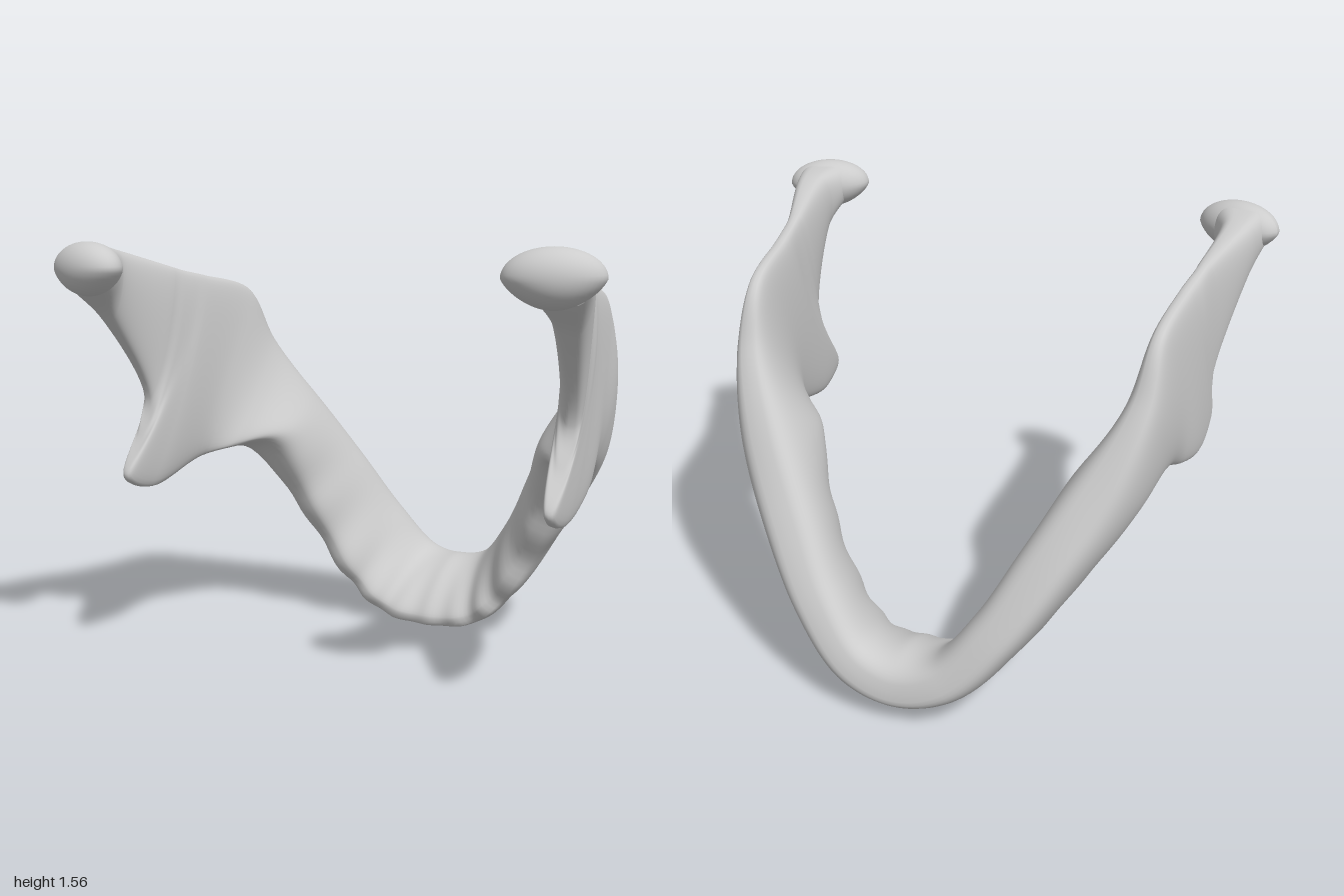
import * as THREE from 'three';

// Half of the arch, midline to joint. Each station is a cross-section:
// [lower border point, height and depth of the middle, tooth-edge point, half thickness at both ends]
const HALF = [
  [[0, .15, -.787], [.145, -.56], [0, .035, -.33], .115, .05],
  [[.17, .21, -.775], [.165, -.55], [.19, .065, -.33], .115, .055],
  [[.33, .40, -.715], [.33, -.51], [.34, .20, -.31], .12, .065],
  [[.47, .64, -.61], [.57, -.42], [.5, .48, -.25], .13, .085],
  [[.62, .91, -.47], [.81, -.28], [.62, .75, -.11], .125, .125],
  [[.72, 1.17, -.33], [.95, -.13], [.71, .76, .04], .085, .08],
  [[.74, 1.37, -.21], [1.06, 0], [.775, .74, .13], .055, .06],
  [[.77, 1.44, .07], [1.08, .22], [.8, .67, .43], .053, .05],
  [[.782, 1.455, .15], [1.1, .27], [.805, .73, .57], .053, .045],
  [[.79, 1.465, .2], [1.12, .31], [.81, .87, .46], .053, .04],
  [[.80, 1.48, .26], [1.2, .34], [.82, 1.0, .395], .055, .04],
  [[.86, 1.55, .54], [1.42, .56], [.86, 1.3, .57], .085, .06],
  [[.86, 1.57, .66], [1.48, .66], [.86, 1.4, .68], .115, .1],
];

function jawGeometry(along = 240, around = 56) {
  // mirror the half across the midline
  const stations = [...HALF.slice(1).reverse().map((s) => [s, -1]), ...HALF.map((s) => [s, 1])];
  const curve = (pick) => new THREE.CatmullRomCurve3(
    stations.map(([s, sign]) => {
      const [x, y, z] = pick(s);
      return new THREE.Vector3(sign * x, y, z);
    }));
  const border = curve((s) => s[0]);
  const middle = curve(([a, m, b]) => [(a[0] + b[0]) / 2, ...m]);
  const edge = curve((s) => s[2]);
  const thickness = new THREE.CatmullRomCurve3(
    stations.map(([s], i) => new THREE.Vector3(s[3], s[4], i)), false, 'catmullrom');

  const pos = [], index = [];
  for (let i = 0; i <= along; i++) {
    const u = i / along;
    const a = border.getPoint(u), m = middle.getPoint(u), b = edge.getPoint(u);
    const h = thickness.getPoint(u);
    const n = b.clone().sub(a).cross(border.getTangent(u)).normalize();
    // bend the section so that it passes through the middle point
    const control = m.clone().multiplyScalar(2).addScaledVector(a, -.5).addScaledVector(b, -.5);
    const section = new THREE.QuadraticBezierCurve3(a, control, b);
    // worn tooth sockets fade out towards the upright branches
    const fromMid = Math.abs(u - .5) * 2;
    const socket = THREE.MathUtils.smoothstep(.33 - fromMid, 0, .08);
    const ripple = socket * (Math.cos(fromMid * 105) + .5 * Math.sin(u * 173));

    for (let j = 0; j < around; j++) {
      const angle = j / around * Math.PI * 2;
      const t = (1 - Math.cos(angle)) / 2, s = Math.sin(angle);
      const side = Math.sign(s) * Math.abs(s) ** .6 * THREE.MathUtils.lerp(h.x, h.y, t);
      const p = section.getPoint(t).addScaledVector(n, side * (1 + .06 * ripple * t ** 3));
      p.z += .007 * ripple * t ** 4;
      // small nerve opening on each outer face
      if (s < 0) {
        const d = Math.hypot(p.z + .52, p.y - .3);
        p.addScaledVector(n, .025 * Math.exp(-((d / .02) ** 2)));
      }
      pos.push(p.x, p.y, p.z);
      if (i < along) {
        const p0 = i * around + j, p1 = i * around + (j + 1) % around;
        index.push(p0, p1, p0 + around, p1, p1 + around, p0 + around);
      }
    }
  }
  const g = new THREE.BufferGeometry();
  g.setAttribute('position', new THREE.Float32BufferAttribute(pos, 3));
  g.setIndex(index);
  g.computeVertexNormals();
  return g;
}

// Rounded joint head: a wide, flattened sphere, narrower below
function jointGeometry() {
  const g = new THREE.SphereGeometry(1, 40, 28);
  const p = g.attributes.position;
  for (let i = 0; i < p.count; i++) {
    const y = p.getY(i);
    const taper = y < 0 ? 1 + .25 * y : 1;
    p.setXYZ(i, p.getX(i) * .16 * taper, y * .095, p.getZ(i) * .095);
  }
  g.computeVertexNormals();
  return g;
}

export function createModel() {
  const group = new THREE.Group();
  group.name = 'lowerJaw';
  const bone = new THREE.MeshStandardMaterial({ color: 0xcccccc, side: THREE.DoubleSide });

  const jaw = new THREE.Mesh(jawGeometry(), bone);
  jaw.name = 'jawBone';
  group.add(jaw);

  for (const side of [1, -1]) {
    const joint = new THREE.Mesh(jointGeometry(), bone);
    joint.name = side > 0 ? 'leftJointHead' : 'rightJointHead';
    joint.position.set(side * .846, 1.485, .688);
    joint.rotation.y = side * .35;
    group.add(joint);
  }
  return group;
}
